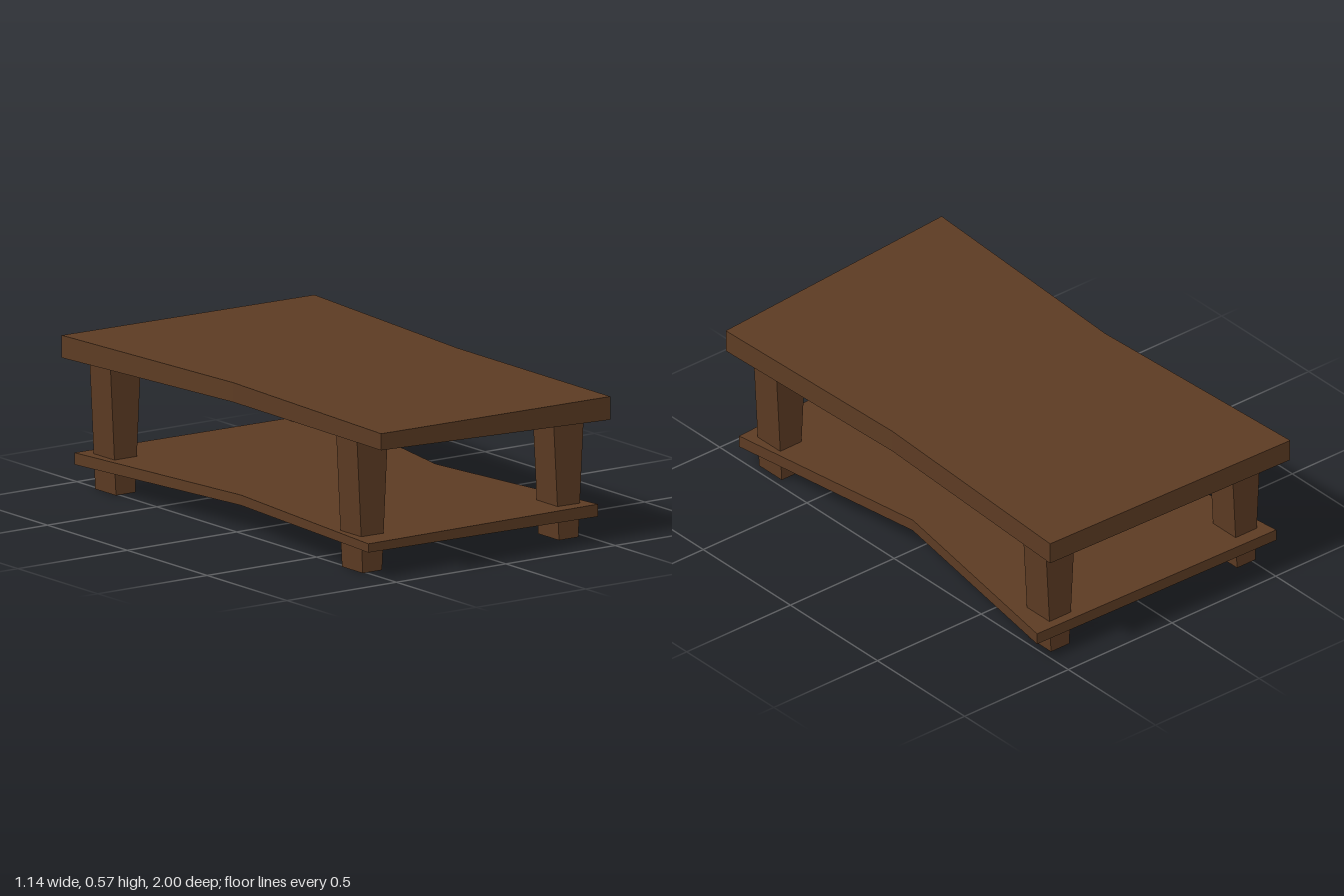
import * as THREE from 'three';

// Solid lofted along z; each section is [z left, z right, x left, x right, bottom left, bottom right, top left, top right]
function loft(sections, material, name) {
  const rings = sections.map(([zl, zr, xl, xr, bl, br, tl, tr]) => [
    [xl, bl, zl], [xr, br, zr], [xr, tr, zr], [xl, tl, zl],
  ]);
  const positions = [];
  const quad = (a, b, c, d) => positions.push(...a, ...b, ...c, ...a, ...c, ...d);
  for (let i = 0; i < rings.length - 1; i++) {
    const p = rings[i], q = rings[i + 1];
    for (let k = 0; k < 4; k++) {
      const n = (k + 1) % 4;
      quad(p[k], p[n], q[n], q[k]);
    }
  }
  const last = rings[rings.length - 1];
  quad(rings[0][3], rings[0][2], rings[0][1], rings[0][0]);
  quad(last[0], last[1], last[2], last[3]);
  const geometry = new THREE.BufferGeometry();
  geometry.setAttribute('position', new THREE.Float32BufferAttribute(positions, 3));
  geometry.computeVertexNormals();
  const mesh = new THREE.Mesh(geometry, material);
  mesh.name = name;
  return mesh;
}

// Leg tapering towards the floor in width only
function leg(x, z, height, material, name) {
  const geometry = new THREE.BoxGeometry(1, height, 0.13);
  geometry.translate(0, height / 2, 0);
  const p = geometry.attributes.position;
  for (let i = 0; i < p.count; i++) {
    p.setX(i, p.getX(i) * (p.getY(i) > 0.01 ? 0.142 : 0.088));
  }
  geometry.computeVertexNormals();
  const mesh = new THREE.Mesh(geometry, material);
  mesh.position.set(x, 0, z);
  mesh.name = name;
  return mesh;
}

export function createModel() {
  const wood = new THREE.MeshStandardMaterial({ color: 0x5c3b23 });
  wood.name = 'dark wood';
  const table = new THREE.Group();
  table.name = 'coffeeTable';

  // Crooked top and shelf, from back to front, both pinched at the waist
  table.add(loft([
    [-1, -0.975, -0.57, 0.567, 0.48, 0.48, 0.565, 0.565],
    [0, 0, -0.517, 0.507, 0.495, 0.471, 0.569, 0.558],
    [1, 0.937, -0.57, 0.524, 0.51, 0.462, 0.573, 0.55],
  ], wood, 'tableTop'));
  table.add(loft([
    [-0.92, -0.9, -0.57, 0.567, 0.09, 0.09, 0.135, 0.135],
    [0, 0, -0.48, 0.41, 0.098, 0.085, 0.137, 0.131],
    [0.92, 0.86, -0.57, 0.524, 0.107, 0.08, 0.14, 0.127],
  ], wood, 'lowerShelf'));

  // Four legs
  for (const [z, end] of [[0.745, 'front'], [-0.8, 'back']]) {
    table.add(leg(-0.471, z, 0.52, wood, end + 'RightLeg'));
    table.add(leg(0.426, z, 0.49, wood, end + 'LeftLeg'));
  }
  return table;
}
